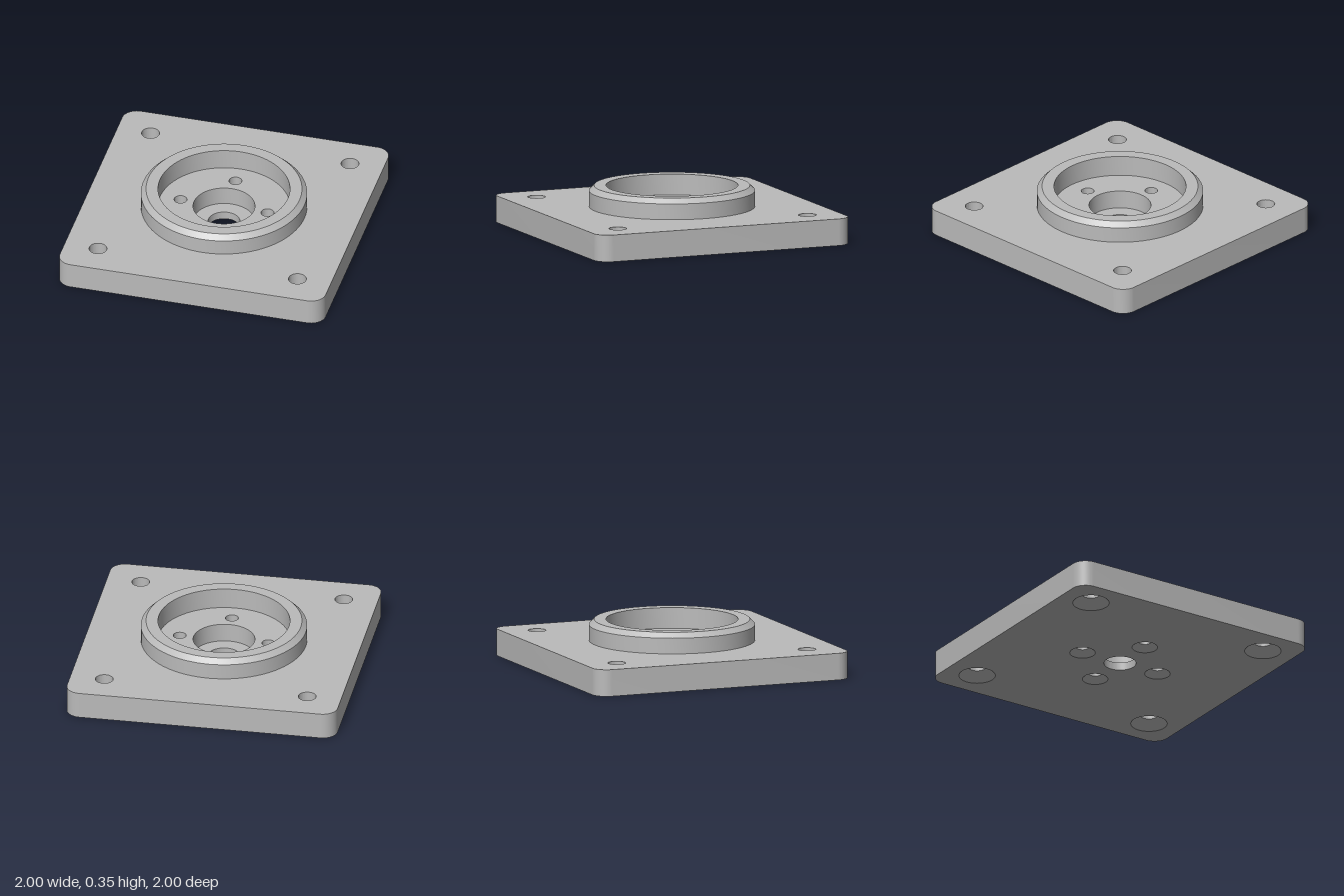
import * as THREE from 'three';
import { toCreasedNormals } from 'three/addons/utils/BufferGeometryUtils.js';

const SEG = 96;
const PLATE_TOP = 0.197;
const BOSS_R = 0.605, BORE_R = 0.48, POCKET_R = 0.225, SHAFT_R = 0.117;
const MOUNT = { r: 0.065, sinkR: 0.133, sinkDepth: 0.068 };
const SCREW = { r: 0.047, sinkR: 0.093, sinkDepth: 0.046 };
const mountSpots = [[0.75, 0.75], [-0.75, 0.75], [-0.75, -0.75], [0.75, -0.75]];
const screwSpots = [[0.327, 0], [0, 0.327], [-0.327, 0], [0, -0.327]];

// Square outline with rounded corners
function plateOutline() {
  const s = new THREE.Shape(), r = 0.11, c = 1 - r;
  [[c, c], [-c, c], [-c, -c], [c, -c]].forEach(([x, y], i) =>
    s.absarc(x, y, r, i * Math.PI / 2, (i + 1) * Math.PI / 2, false));
  s.closePath();
  return s;
}

function addHole(shape, x, y, r) {
  shape.holes.push(new THREE.Path().absarc(x, y, r, 0, Math.PI * 2, true));
}

export function createModel() {
  const group = new THREE.Group();
  const metal = new THREE.MeshStandardMaterial({ color: 0xbababa });
  metal.name = 'grey metal';

  function add(name, geometry, x = 0, y = 0, z = 0) {
    const mesh = new THREE.Mesh(geometry, metal);
    mesh.name = name;
    mesh.position.set(x, y, z);
    group.add(mesh);
  }

  // Flat horizontal face, looking up or down
  function addFace(name, shape, y, up) {
    const g = new THREE.ShapeGeometry(shape, SEG / 2);
    g.rotateX(up ? -Math.PI / 2 : Math.PI / 2);
    add(name, g, 0, y, 0);
  }

  // Turned surface with crisp edges
  function addTurned(name, profile, x = 0, z = 0) {
    const pts = profile.map(([r, y]) => new THREE.Vector2(r, y));
    add(name, toCreasedNormals(new THREE.LatheGeometry(pts, SEG), 0.5), x, 0, z);
  }

  // Plate side walls: an extrusion without its caps
  const solid = new THREE.ExtrudeGeometry(plateOutline(), { depth: PLATE_TOP, bevelEnabled: false, curveSegments: 12 });
  const side = solid.groups.find(g => g.materialIndex === 1);
  const walls = new THREE.BufferGeometry();
  walls.setAttribute('position', new THREE.BufferAttribute(
    solid.attributes.position.array.slice(side.start * 3, (side.start + side.count) * 3), 3));
  walls.rotateX(-Math.PI / 2);
  add('plateWalls', toCreasedNormals(walls, 0.5));

  // Plate top around the boss, and underside with countersink openings
  const top = plateOutline(), bottom = plateOutline();
  addHole(top, 0, 0, BOSS_R);
  addHole(bottom, 0, 0, SHAFT_R);
  for (const [x, y] of mountSpots) {
    addHole(top, x, y, MOUNT.r);
    addHole(bottom, x, y, MOUNT.sinkR);
  }
  for (const [x, y] of screwSpots) addHole(bottom, x, y, SCREW.sinkR);
  addFace('plateTop', top, PLATE_TOP, true);
  addFace('plateUnderside', bottom, 0, false);

  // Raised ring with chamfered rim and straight bore
  addTurned('bossRing', [[BOSS_R, PLATE_TOP], [BOSS_R, 0.313], [0.567, 0.35], [BORE_R, 0.35], [BORE_R, PLATE_TOP]]);

  // Bore floor
  const floor = new THREE.Shape().absarc(0, 0, BORE_R, 0, Math.PI * 2, false);
  addHole(floor, 0, 0, POCKET_R);
  for (const [x, y] of screwSpots) addHole(floor, x, y, SCREW.r);
  addFace('boreFloor', floor, PLATE_TOP, true);

  // Stepped centre pocket and through hole
  addTurned('centrePocket', [[POCKET_R, PLATE_TOP], [POCKET_R, 0.06], [SHAFT_R, 0.06], [SHAFT_R, 0]]);

  // Holes countersunk from below
  const addSunkHoles = (name, spots, h) => spots.forEach(([x, z]) =>
    addTurned(name, [[h.r, PLATE_TOP], [h.r, h.sinkDepth], [h.sinkR, 0]], x, z));
  addSunkHoles('mountingHole', mountSpots, MOUNT);
  addSunkHoles('screwHole', screwSpots, SCREW);

  return group;
}
